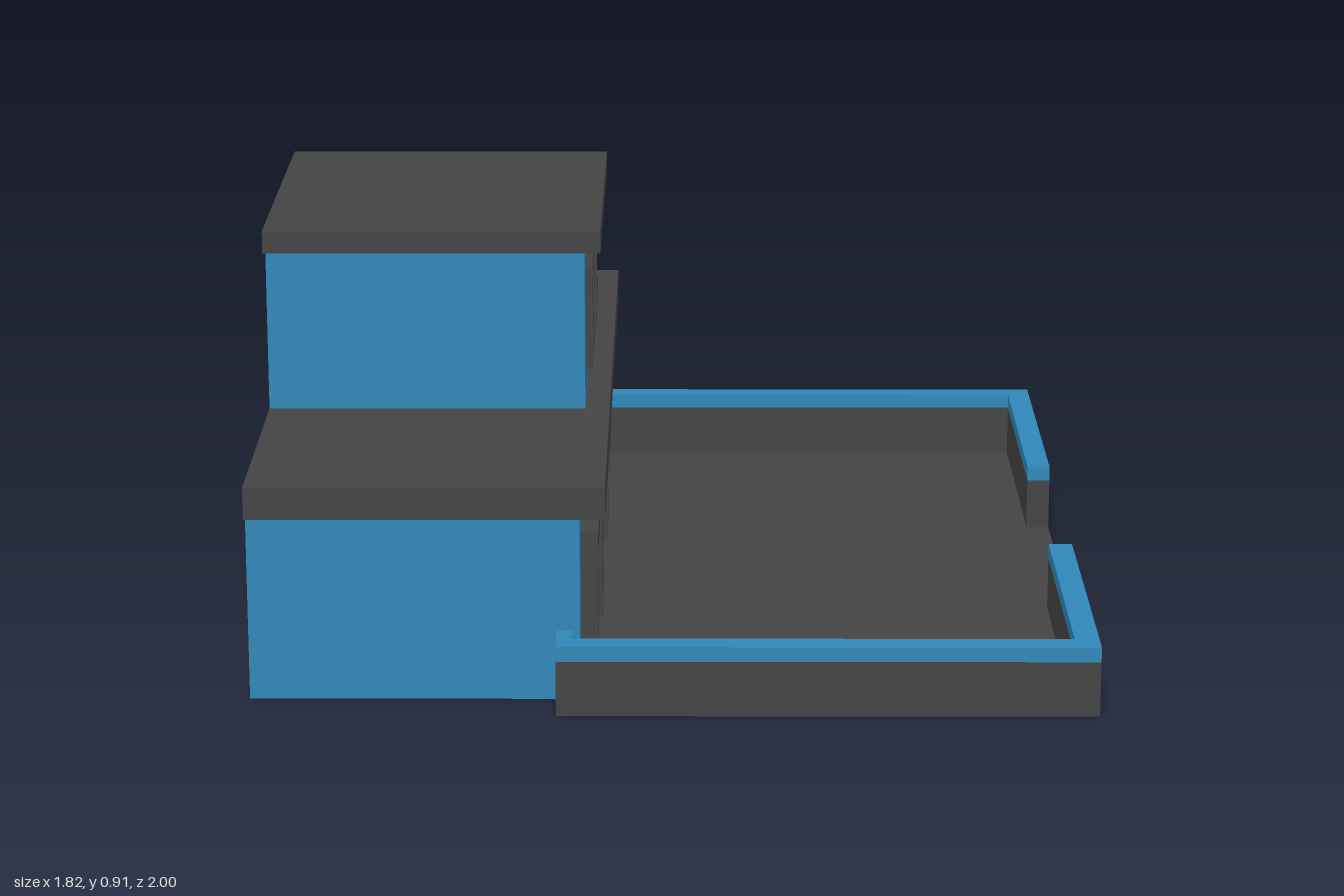
import * as THREE from 'three';

const mat = (color) => new THREE.MeshStandardMaterial({ color });

export function createModel() {
  const model = new THREE.Group();
  model.name = 'garageStation';

  const blue = mat(0x3088b8);
  const dark = mat(0x444444);
  const glass = mat(0x66c2cc);
  const panel = mat(0xb5afb2);
  const groove = mat(0x231c22);

  // Box given by its limits along each axis
  const block = (parent, name, material, [x0, x1], [y0, y1], [z0, z1]) => {
    const mesh = new THREE.Mesh(new THREE.BoxGeometry(x1 - x0, y1 - y0, z1 - z0), material);
    mesh.position.set((x0 + x1) / 2, (y0 + y1) / 2, (z0 + z1) / 2);
    mesh.name = name;
    parent.add(mesh);
    return mesh;
  };

  const BACK = -0.91, FACADE = -0.2, FRONT = 0.905;

  // Main hall and upper storey, each with an overhanging flat roof
  block(model, 'hall', blue, [BACK, FACADE], [0, 0.415], [-0.9, 0.893]);
  block(model, 'hallRoof', dark, [BACK, -0.145], [0.415, 0.485], [-0.945, 0.932]);
  block(model, 'upperStorey', blue, [BACK, FACADE], [0.485, 0.86], [-0.355, 0.325]);
  block(model, 'upperRoof', dark, [BACK, -0.163], [0.86, 0.91], [-0.42, 0.39]);

  // Yard slab
  block(model, 'yardFloor', dark, [FACADE, FRONT], [0, 0.004], [-0.95, 0.95]);

  // Yard wall: an L with a short return to the hall, dark base and blue coping
  const yardWall = (name, side, gateEnd, hallSide) => {
    const shape = new THREE.Shape([
      [-0.25, hallSide], [-0.25, 1], [FRONT, 1], [FRONT, gateEnd],
      [0.852, gateEnd], [0.852, 0.945], [-0.215, 0.945], [-0.215, hallSide],
    ].map(([x, z]) => new THREE.Vector2(x, -z * side)));
    const group = new THREE.Group();
    group.name = name;
    for (const [part, material, y0, y1] of [['base', dark, 0, 0.122], ['coping', blue, 0.122, 0.155]]) {
      const geometry = new THREE.ExtrudeGeometry(shape, { depth: y1 - y0, bevelEnabled: false });
      geometry.rotateX(-Math.PI / 2);
      const mesh = new THREE.Mesh(geometry, material);
      mesh.position.y = y0;
      mesh.name = part;
      group.add(mesh);
    }
    model.add(group);
  };
  yardWall('yardWallNear', 1, 0.292, 0.893);
  yardWall('yardWallFar', -1, 0.31, 0.9);

  // Roller doors: three-sided frame, slatted panel and dark grooves
  const rollerDoor = (name, z0, z1) => {
    const door = new THREE.Group();
    door.name = name;
    const t = 0.042, depth = [FACADE, -0.163];
    block(door, 'jamb', dark, depth, [0, 0.295], [z0, z0 + t]);
    block(door, 'jamb', dark, depth, [0, 0.295], [z1 - t, z1]);
    block(door, 'lintel', dark, depth, [0.295, 0.337], [z0, z1]);
    const inside = [z0 + t, z1 - t];
    block(door, 'grooves', groove, [FACADE, -0.195], [0, 0.295], inside);
    for (let i = 0; i < 4; i++) {
      const y = i * 0.0785;
      block(door, 'slat', panel, [-0.195, -0.185], [y ? y + 0.005 : 0, Math.min(y + 0.059, 0.295)], inside);
    }
    model.add(door);
  };
  rollerDoor('doorNear', 0.33, 0.776);
  rollerDoor('doorMiddle', -0.248, 0.237);
  rollerDoor('doorFar', -0.792, -0.354);

  // Upstairs window: frame rails, mullions and four panes
  const win = new THREE.Group();
  win.name = 'window';
  const zA = -0.292, zB = 0.25, bar = 0.016, step = (zB - zA - bar) / 4;
  const winDepth = [FACADE, -0.185];
  block(win, 'sill', dark, winDepth, [0.557, 0.568], [zA, zB]);
  block(win, 'head', dark, winDepth, [0.787, 0.798], [zA, zB]);
  for (let i = 0; i < 5; i++) {
    const z = zA + i * step;
    block(win, 'mullion', dark, winDepth, [0.568, 0.787], [z, z + bar]);
    if (i < 4) block(win, 'pane', glass, [FACADE, -0.192], [0.568, 0.787], [z + bar, z + step]);
  }
  model.add(win);

  return model;
}
